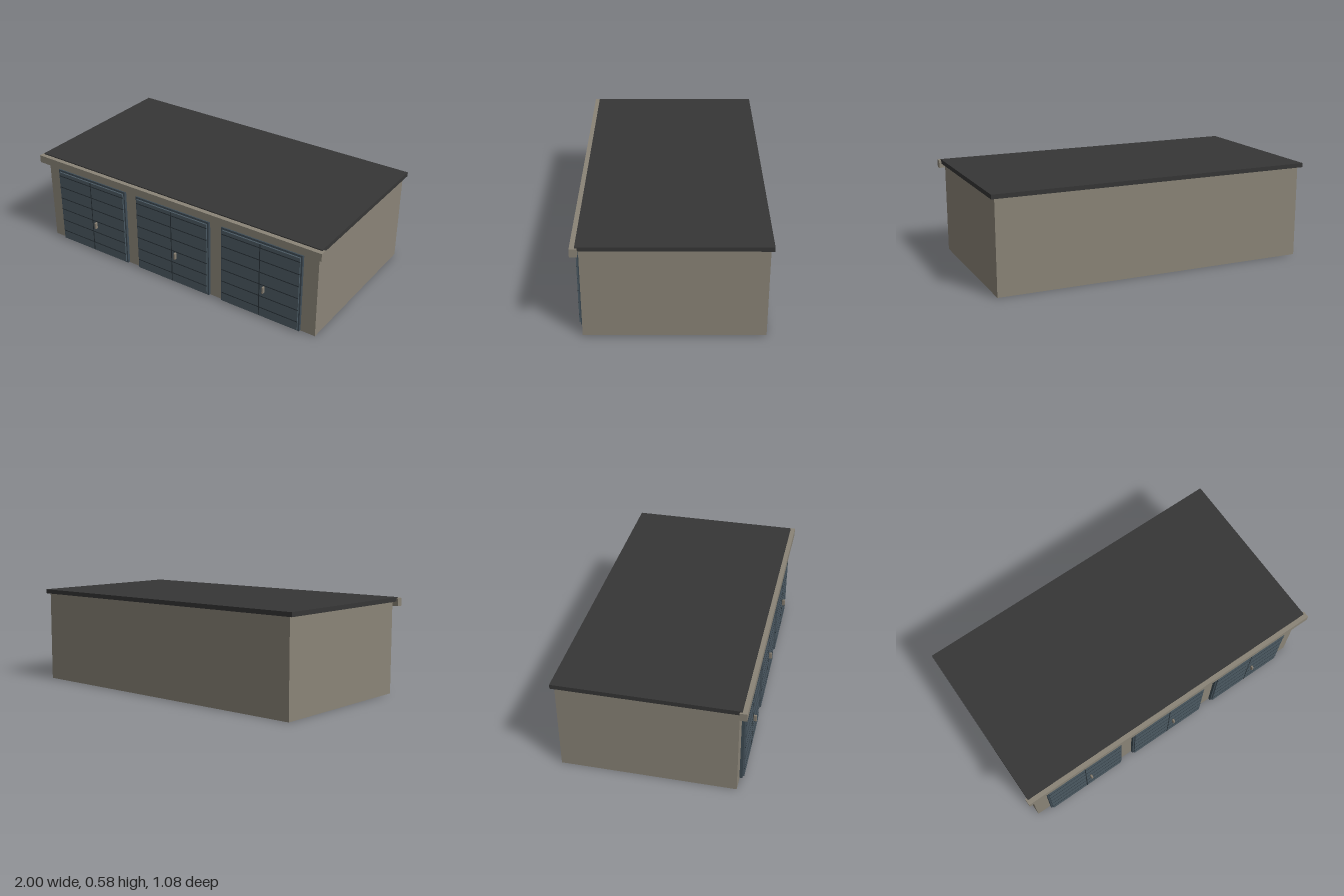
import * as THREE from 'three';
import { RoundedBoxGeometry } from 'three/addons/geometries/RoundedBoxGeometry.js';

function material(name, color) {
  const m = new THREE.MeshStandardMaterial({ color });
  m.name = name;
  return m;
}

// Box given by its minimum and maximum on each axis
function box(name, mat, [x0, x1], [y0, y1], [z0, z1]) {
  const mesh = new THREE.Mesh(new THREE.BoxGeometry(x1 - x0, y1 - y0, z1 - z0), mat);
  mesh.position.set((x0 + x1) / 2, (y0 + y1) / 2, (z0 + z1) / 2);
  mesh.name = name;
  return mesh;
}

export function createModel() {
  const wall = material('stone grey wall', 0x8a8477);
  const roofing = material('charcoal roofing', 0x363636);
  const doorBlue = material('slate blue door', 0x4b5962);
  const frameBlue = material('dark slate frame', 0x3f4c55);
  const seamDark = material('dark door seam', 0x2a3339);
  const metal = material('grey handle', 0x857d70);

  const garage = new THREE.Group();
  garage.name = 'garageRow';

  // Main block, flat roof and front fascia
  garage.add(box('walls', wall, [-0.965, 0.965], [0, 0.558], [-0.52, 0.494]));
  garage.add(box('roof', roofing, [-0.99, 0.987], [0.557, 0.583], [-0.537, 0.511]));
  garage.add(box('fascia', wall, [-1, 1], [0.53, 0.577], [0.497, 0.539]));

  // Three doors: frame, panel, seams and handle
  function makeDoor(cx) {
    const door = new THREE.Group();
    door.name = 'garageDoor';
    door.position.x = cx;
    door.add(box('doorFrame', frameBlue, [-0.263, 0.263], [0.005, 0.503], [0.49, 0.511]));
    door.add(box('doorPanel', doorBlue, [-0.253, 0.253], [0.014, 0.49], [0.505, 0.52]));
    for (let i = 0; i < 6; i++) {
      const y = 0.07 + i * 0.079;
      door.add(box('plankSeam', seamDark, [-0.2535, 0.2535], [y - 0.003, y + 0.003], [0.516, 0.5205]));
    }
    door.add(box('centreSeam', seamDark, [-0.003, 0.003], [0.014, 0.49], [0.516, 0.5207]));
    const handle = new THREE.Mesh(new RoundedBoxGeometry(0.012, 0.043, 0.02, 2, 0.004), metal);
    handle.name = 'handle';
    handle.position.set(0.032, 0.203, 0.529);
    door.add(handle);
    return door;
  }
  for (const cx of [-0.614, -0.002, 0.61]) garage.add(makeDoor(cx));

  return garage;
}
